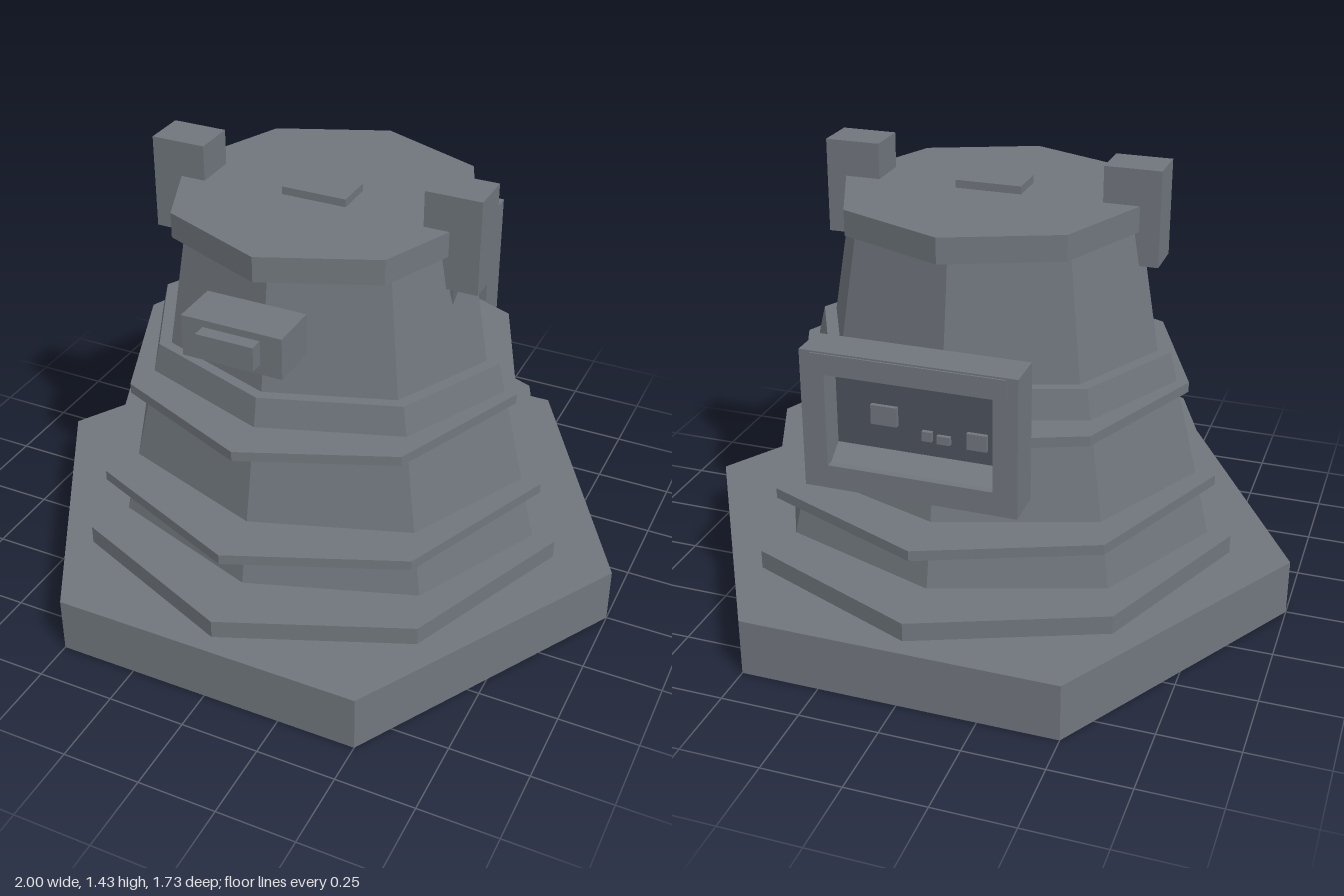
import * as THREE from 'three';

export function createModel() {
  const model = new THREE.Group();
  const metal = new THREE.MeshStandardMaterial({ name: 'greyMetal', color: 0x70767d, flatShading: true });
  const dark = new THREE.MeshStandardMaterial({ name: 'darkRecess', color: 0x4c515c, flatShading: true });

  const add = (name, geometry, material = metal) => {
    const mesh = new THREE.Mesh(geometry, material);
    mesh.name = name;
    model.add(mesh);
    return mesh;
  };
  // Prism or frustum between two heights, optionally narrowed in depth
  const tier = (name, sides, r0, r1, y0, y1, depth = 1, turn = 0) => {
    const g = new THREE.CylinderGeometry(r1, r0, y1 - y0, sides, 1, false, turn);
    g.scale(1, 1, depth).translate(0, (y0 + y1) / 2, 0);
    return add(name, g);
  };
  // Box from its low and high corners
  const box = (name, x0, x1, y0, y1, z0, z1, material) => {
    const g = new THREE.BoxGeometry(x1 - x0, y1 - y0, z1 - z0);
    g.translate((x0 + x1) / 2, (y0 + y1) / 2, (z0 + z1) / 2);
    return add(name, g, material);
  };

  // Stepped tower
  tier('base', 6, 1, 1, 0, 0.185, 1, Math.PI / 2);
  tier('plinth', 8, 0.805, 0.805, 0.185, 0.245);
  tier('lowerBody', 8, 0.73, 0.582, 0.245, 0.853, 0.83);
  tier('lowerRing', 8, 0.743, 0.743, 0.42, 0.453);
  tier('upperRing', 8, 0.643, 0.643, 0.728, 0.76);
  tier('upperBody', 8, 0.54, 0.474, 0.853, 1.24, 0.83);
  tier('cap', 8, 0.485, 0.485, 1.24, 1.32);
  box('capPlate', -0.105, 0.105, 1.32, 1.345, -0.035, 0.09);

  // Side pods with a small spike underneath
  for (const s of [-1, 1]) {
    const x = s * 0.448;
    box('sidePod', x - 0.088, x + 0.088, 1.133, 1.433, -0.03, 0.108);
    const spike = new THREE.ConeGeometry(0.016, 0.055, 4);
    spike.rotateX(Math.PI).scale(1, 1, 0.15).translate(s * 0.457, 1.106, 0.096);
    add('podSpike', spike);
  }

  // Front lamp
  box('lampHousing', -0.158, 0.158, 1.035, 1.165, 0.464, 0.618);
  box('lampFace', -0.09, 0.09, 1.068, 1.143, 0.618, 0.66);

  // Rear control panel: open frame, dark back wall, sloped shelf, buttons
  const rect = (Type, w, y0, y1) => new Type([
    new THREE.Vector2(-w, y0), new THREE.Vector2(w, y0),
    new THREE.Vector2(w, y1), new THREE.Vector2(-w, y1),
  ]);
  const frame = rect(THREE.Shape, 0.323, 0.607, 1.035);
  frame.holes.push(rect(THREE.Path, 0.25, 0.68, 0.965));
  const frameGeo = new THREE.ExtrudeGeometry(frame, { depth: 0.122, bevelEnabled: false });
  frameGeo.translate(0, 0, -0.724);
  add('panelFrame', frameGeo);
  box('panelBack', -0.255, 0.255, 0.675, 0.97, -0.645, -0.604, dark);
  box('panelTrim', -0.29, 0.29, 0.97, 1.03, -0.729, -0.724);

  const wedge = new THREE.Shape([
    new THREE.Vector2(0.645, 0.68), new THREE.Vector2(0.7, 0.68), new THREE.Vector2(0.645, 0.72),
  ]);
  const shelf = new THREE.ExtrudeGeometry(wedge, { depth: 0.5, bevelEnabled: false });
  shelf.rotateY(Math.PI / 2).translate(-0.25, 0, 0);
  add('panelShelf', shelf);

  for (const [x, y, w, h] of [
    [0.1, 0.83, 0.08, 0.06], [-0.03, 0.785, 0.03, 0.03],
    [-0.08, 0.78, 0.04, 0.025], [-0.18, 0.79, 0.06, 0.05],
  ]) box('panelButton', x - w / 2, x + w / 2, y - h / 2, y + h / 2, -0.658, -0.645);

  return model;
}
